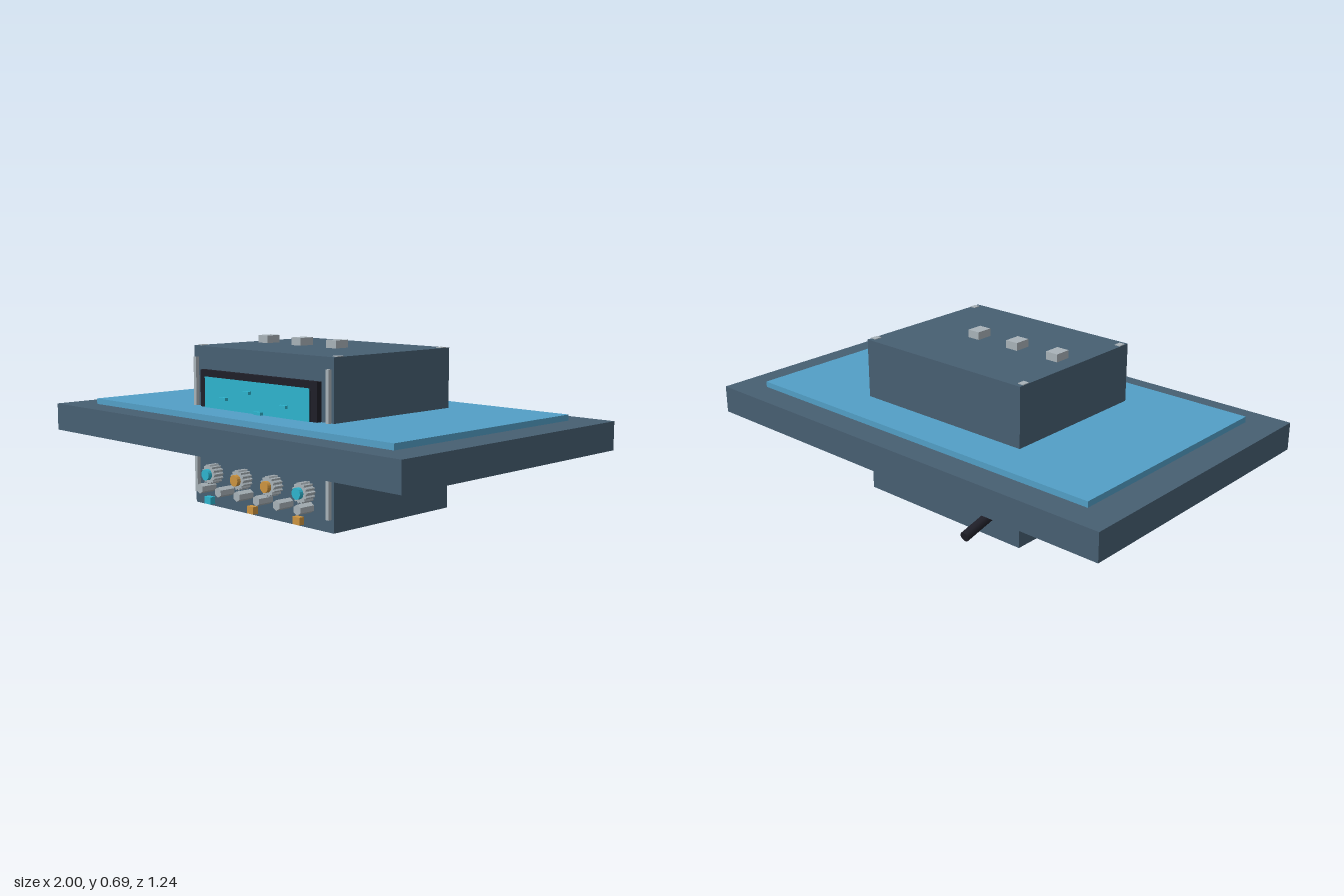
import * as THREE from 'three';

export function createModel() {
  const group = new THREE.Group();
  const mat = (name, color) => {
    const m = new THREE.MeshStandardMaterial({ color });
    m.name = name;
    return m;
  };
  const slate = mat('slate', 0x475f72);
  const blue = mat('blue', 0x529fc6);
  const cyan = mat('cyan', 0x2eb3cd);
  const black = mat('black', 0x1f1f28);
  const grey = mat('grey', 0xa8b2b8);
  const orange = mat('orange', 0xcc9440);

  const add = (name, geometry, material) => {
    const mesh = new THREE.Mesh(geometry, material);
    mesh.name = name;
    group.add(mesh);
    return mesh;
  };
  // Box given by its limits on each axis
  const box = (name, material, x0, x1, y0, y1, z0, z1) =>
    add(name, new THREE.BoxGeometry(x1 - x0, y1 - y0, z1 - z0), material)
      .position.set((x0 + x1) / 2, (y0 + y1) / 2, (z0 + z1) / 2);
  // Cylinder along z, from z0 to z1
  const peg = (name, material, x, y, r, z0, z1, sides) => {
    const g = new THREE.CylinderGeometry(r, r, z1 - z0, sides).toNonIndexed();
    g.computeVertexNormals();
    g.rotateX(Math.PI / 2);
    add(name, g, material).position.set(x, y, (z0 + z1) / 2);
  };

  // Cabinet, surrounding slab and inset sheet
  box('cabinet', slate, -0.408, 0.408, 0, 0.66, -0.33, 0.33);
  box('slab', slate, -1, 1, 0.275, 0.39, -0.622, 0.622);
  box('slabSheet', blue, -0.865, 0.865, 0.39, 0.414, -0.508, 0.508);

  // Display with frame and raised marks
  box('screenFrame', black, -0.342, 0.342, 0.226, 0.566, 0.33, 0.353);
  box('screenBacking', black, -0.306, 0.306, 0.25, 0.54, 0.353, 0.358);
  box('screen', cyan, -0.306, 0.306, 0.25, 0.54, 0.358, 0.36);
  for (const [x, y] of [[-0.18, 0.459], [-0.04, 0.495], [0.03, 0.42], [0.17, 0.459]])
    box('screenMark', cyan, x - 0.02, x + 0.02, y - 0.006, y + 0.006, 0.36, 0.375);

  // Side rails and corner screws
  for (const s of [-1, 1]) {
    box('sideRail', grey, s * 0.387 - 0.008, s * 0.387 + 0.008, 0.05, 0.615, 0.33, 0.346);
    for (const t of [-1, 1])
      box('cornerScrew', grey, s * 0.394 - 0.013, s * 0.394 + 0.013, 0.655, 0.663, t * 0.295 - 0.016, t * 0.295 + 0.016);
  }

  // Toothed knobs with coloured caps
  const gear = new THREE.Shape();
  const teeth = 14;
  for (let i = 0; i < teeth * 4; i++) {
    const a = (i / (teeth * 4)) * Math.PI * 2;
    const r = i % 4 < 2 ? 0.041 : 0.035;
    if (i) gear.lineTo(r * Math.cos(a), r * Math.sin(a));
    else gear.moveTo(r, 0);
  }
  const gearGeometry = new THREE.ExtrudeGeometry(gear, { depth: 0.047, bevelEnabled: false });
  [-0.27, -0.09, 0.09, 0.27].forEach((x, i) => {
    add('knob', gearGeometry, grey).position.set(x, 0.141, 0.33);
    peg('knobCap', i % 3 ? orange : cyan, x, 0.141, 0.023, 0.37, 0.395, 16);
  });

  // Row of hexagonal sockets
  for (let i = 0; i < 6; i++)
    peg('socket', grey, -0.295 + i * 0.116, 0.082, 0.021, 0.33, 0.403, 6);

  // Indicator buttons
  [[-0.285, cyan], [-0.02, orange], [0.245, orange]].forEach(([x, m]) =>
    box('button', m, x - 0.019, x + 0.019, 0.014, 0.044, 0.346, 0.371));

  // Blocks on the roof
  for (const x of [-0.312, -0.108, 0.096])
    box('roofBlock', grey, x - 0.028, x + 0.028, 0.66, 0.692, -0.035, 0.035);

  // Power cable
  const path = new THREE.LineCurve3(new THREE.Vector3(-0.355, 0.197, -0.3), new THREE.Vector3(-0.355, 0.126, -0.576));
  const cable = new THREE.CylinderGeometry(0.02, 0.02, path.getLength(), 10);
  cable.rotateX(Math.PI / 2);
  const cableMesh = add('cable', cable, black);
  cableMesh.position.copy(path.getPoint(0.5));
  cableMesh.lookAt(path.v2);

  return group;
}
